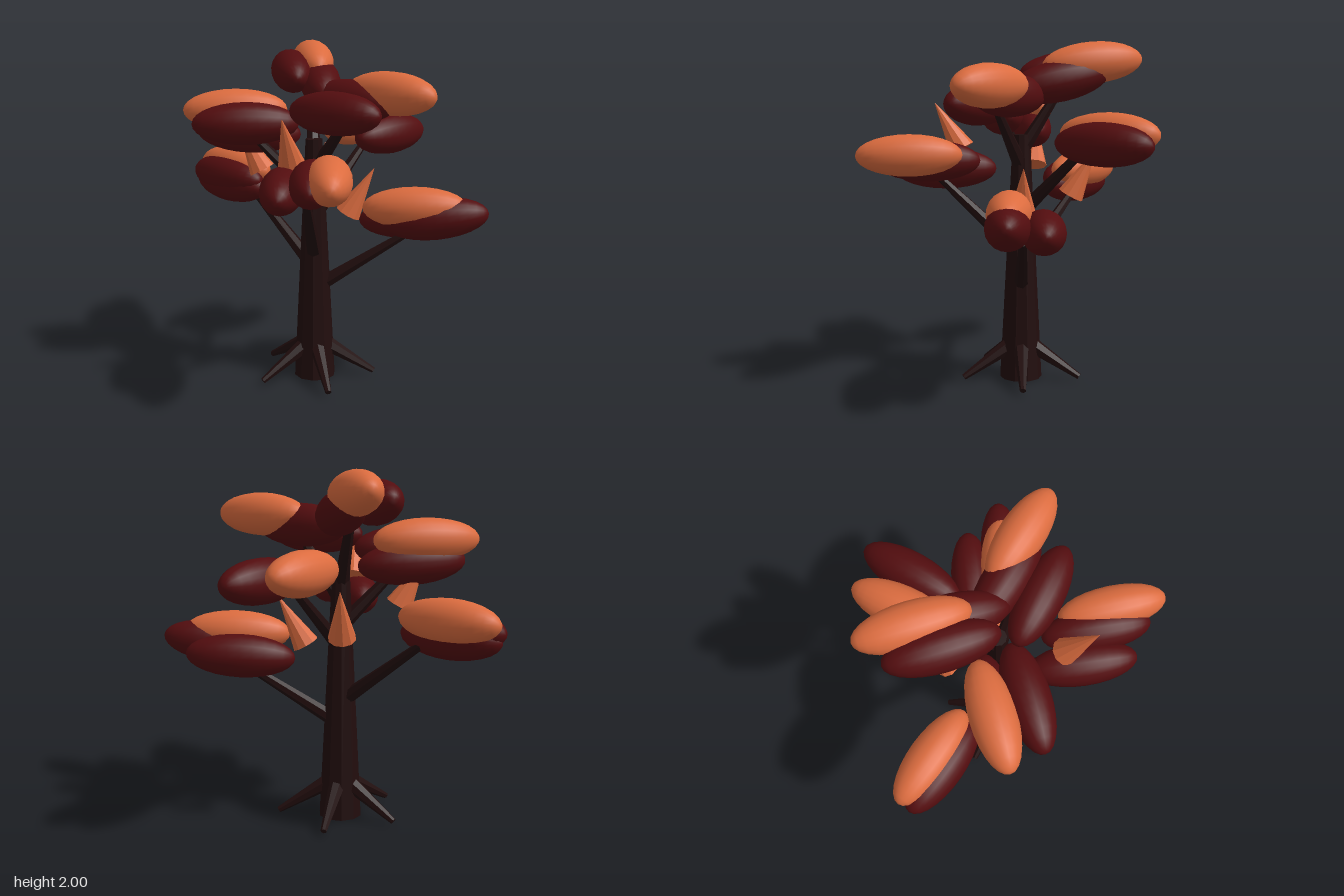
import * as THREE from 'three';

const V = (p) => new THREE.Vector3(...p);
const UP = new THREE.Vector3(0, 1, 0);

export function createModel() {
  const tree = new THREE.Group();
  tree.name = 'tree';

  const material = (name, color, flatShading = false) => {
    const m = new THREE.MeshStandardMaterial({ color, flatShading });
    m.name = name;
    return m;
  };
  const bark = material('bark', 0x210d0d, true);
  const darkLeaf = material('dark red leaf', 0x530d0f);
  const orangeLeaf = material('orange leaf', 0xdc6c3f);

  const add = (parent, name, geometry, mat) => {
    const mesh = new THREE.Mesh(geometry, mat);
    mesh.name = name;
    parent.add(mesh);
    return mesh;
  };

  // Tapered limb or cone between two points
  const limb = (parent, name, from, to, r0, r1, sides, mat) => {
    const a = V(from), b = V(to), axis = b.clone().sub(a);
    let geometry = new THREE.CylinderGeometry(r1, r0, axis.length(), sides);
    // faceted sides come from unshared corners, so the leaf colour can be reused
    if (!mat.flatShading) {
      geometry = geometry.toNonIndexed();
      geometry.computeVertexNormals();
    }
    const mesh = add(parent, name, geometry, mat);
    mesh.position.copy(a).lerp(b, 0.5);
    mesh.quaternion.setFromUnitVectors(UP, axis.normalize());
  };

  // Trunk
  const cx = -0.1, cz = -0.09;
  limb(tree, 'trunk', [cx, 0, cz], [cx, 1.46, cz], 0.125, 0.05, 10, bark);

  // Five roots spread evenly around the trunk
  const roots = new THREE.Group();
  roots.name = 'roots';
  tree.add(roots);
  for (let i = 0; i < 5; i++) {
    const t = (i / 5) * Math.PI * 2, c = Math.cos(t), s = Math.sin(t);
    limb(roots, 'root', [cx + 0.05 * c, 0.21, cz + 0.05 * s],
      [cx + 0.36 * c, 0.028, cz + 0.36 * s], 0.05, 0.018, 7, bark);
  }

  // Branches: start, end
  const branches = new THREE.Group();
  branches.name = 'branches';
  tree.add(branches);
  [
    [[-0.1, 0.55, -0.09], [0.47, 0.92, -0.08]],
    [[-0.11, 0.69, -0.1], [-0.55, 1.11, -0.46]],
    [[-0.1, 0.78, -0.06], [-0.1, 1.22, 0.4]],
    [[-0.1, 1.0, -0.09], [0.2, 1.42, -0.45]],
    [[-0.1, 1.12, -0.09], [-0.47, 1.5, -0.06]],
    [[-0.1, 1.27, -0.09], [0.12, 1.62, 0.06]],
    [[-0.1, 1.36, -0.09], [-0.14, 1.76, -0.34]],
  ].forEach(([from, to]) => limb(branches, 'branch', from, to, 0.045, 0.022, 7, bark));

  // Leaf clumps: centre, long-axis direction, colour
  const O = orangeLeaf, D = darkLeaf;
  const clumps = {
    lowerLeftFoliage: [
      [[0.49, 1.08, -0.005], [1, 0.03, 0.08], O],
      [[0.61, 1.02, 0.005], [1, 0.14, 0.05], D],
      [[0.465, 0.975, -0.19], [1, 0.06, 0.02], D],
    ],
    backLeftFoliage: [
      [[0.335, 1.43, -0.515], [0.615, 0, -0.79], D],
      [[0.12, 1.475, -0.575], [0.53, 0, -0.85], O],
    ],
    topFoliage: [
      [[-0.145, 1.875, -0.505], [-0.22, 0.08, -0.98], O],
      [[-0.26, 1.825, -0.375], [-0.22, 0.08, -0.98], D],
      [[-0.085, 1.77, -0.31], [-0.2, 0.2, -0.98], D],
    ],
    upperFoliage: [
      [[0.035, 1.64, 0.155], [0.84, 0.02, 0.54], D],
      [[0.34, 1.745, 0.09], [0.79, 0, 0.61], O],
      [[0.12, 1.69, -0.02], [0.79, 0, 0.61], D],
    ],
    upperRightFoliage: [
      [[-0.57, 1.615, -0.165], [-0.98, 0, 0.17], O],
      [[-0.48, 1.56, 0.02], [-0.98, 0, 0.17], D],
      [[-0.49, 1.485, -0.16], [-0.98, 0.05, 0.1], D],
    ],
    backRightFoliage: [
      [[-0.64, 1.215, -0.51], [-0.76, 0, -0.65], O],
      [[-0.68, 1.165, -0.46], [-0.76, 0, -0.65], D],
      [[-0.66, 1.12, -0.46], [-0.76, 0, -0.65], D],
    ],
    frontFoliage: [
      [[0.04, 1.35, 0.555], [0.1, 0, 1], O],
      [[-0.23, 1.25, 0.36], [0.03, 0, 1], D],
      [[-0.06, 1.31, 0.455], [0.04, 0, 1], D],
    ],
  };
  const clumpShape = new THREE.SphereGeometry(1, 20, 14);
  for (const [name, list] of Object.entries(clumps)) {
    const group = new THREE.Group();
    group.name = name;
    tree.add(group);
    for (const [centre, dir, mat] of list) {
      const mesh = add(group, 'leafClump', clumpShape, mat);
      mesh.position.copy(V(centre));
      mesh.scale.set(0.122, 0.305, 0.122);
      mesh.quaternion.setFromUnitVectors(UP, V(dir).normalize());
    }
  }

  // Pointed leaf cones: base, tip
  const cones = new THREE.Group();
  cones.name = 'leafCones';
  tree.add(cones);
  [
    [[-0.19, 1.37, 0.26], [-0.22, 1.64, 0.42]],
    [[0.1, 1.02, -0.09], [0.25, 1.29, -0.09]],
    [[-0.42, 1.255, -0.18], [-0.56, 1.52, -0.2]],
    [[-0.09, 1.105, -0.38], [-0.07, 1.37, -0.52]],
  ].forEach(([base, tip]) => limb(cones, 'leafCone', base, tip, 0.078, 0.002, 10, orangeLeaf));

  return tree;
}
